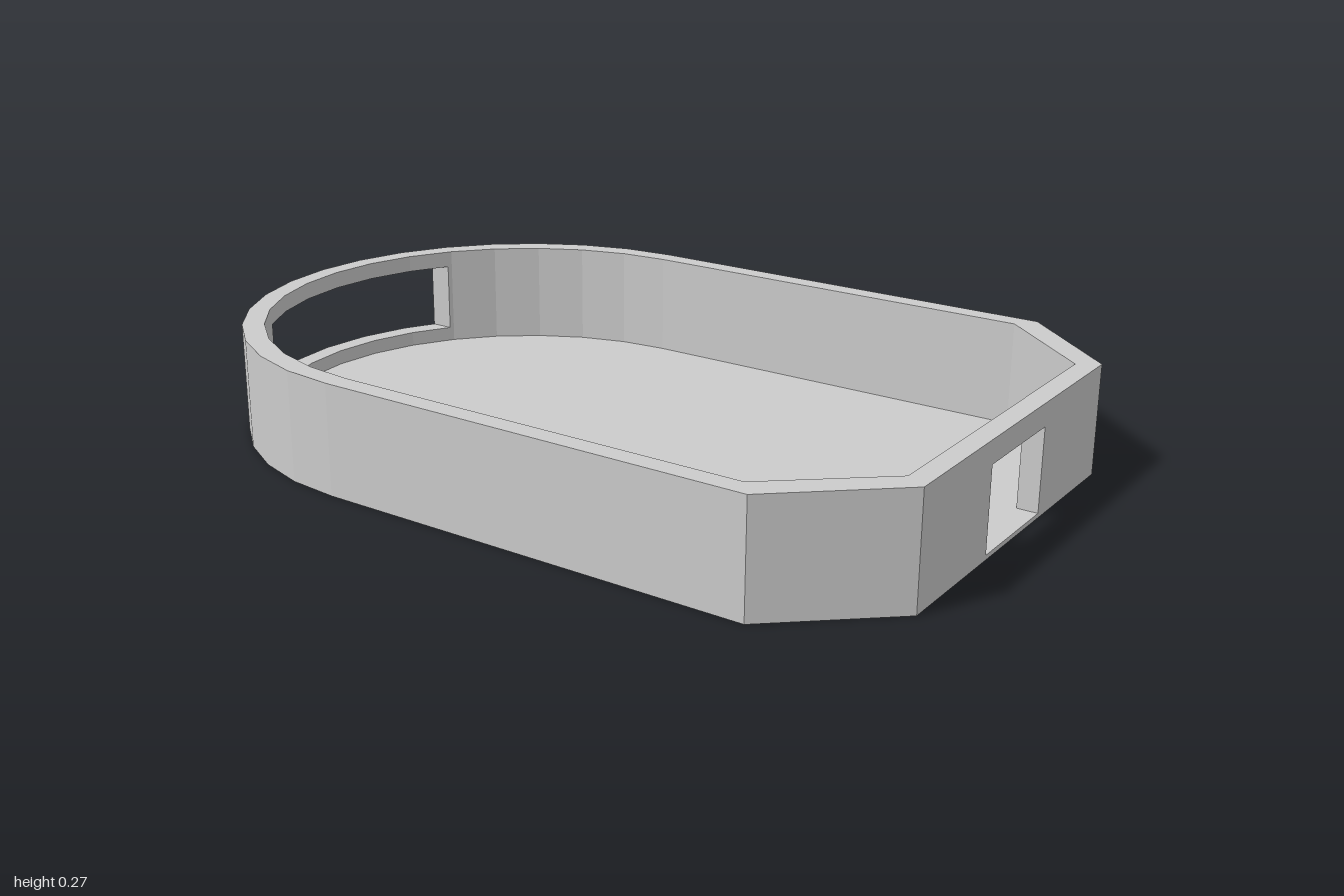
import * as THREE from 'three';

const HEIGHT = 0.267, FLOOR = 0.011, RADIUS = 0.667, ARC_Z = -0.333;
const FRONT_HOLE = [FLOOR, 0.211], BACK_HOLE = [0.048, 0.225];
const INSET_X = 0.925, INSET_Z = 0.95;

// Plan of the wall: paired outer and inner [x, z] points, counter-clockwise from above
function wallStations() {
  const pair = (x, z) => ({ o: [x, z], i: [x * INSET_X, z * INSET_Z] });
  const half = [
    { o: [0.133, 1], i: [0.133, 0.95] }, // front window edge
    pair(0.444, 1),
    pair(RADIUS, 0.75),
  ];
  for (let k = 0; k < 8; k++) {
    const a = (k * Math.PI) / 16;
    half.push(pair(RADIUS * Math.cos(a), ARC_Z - RADIUS * Math.sin(a)));
  }
  // straight cut of the rear window, between two arc points
  const cut = (p, q) => {
    const t = (0.333 - p[0]) / (q[0] - p[0]);
    return [0.333, p[1] + t * (q[1] - p[1])];
  };
  half.splice(9, 0, { o: cut(half[8].o, half[9].o), i: cut(half[8].i, half[9].i) });
  const flip = ([x, z]) => [-x, z];
  const mirrored = half.map((s) => ({ o: flip(s.o), i: flip(s.i) })).reverse();
  return [...half, pair(0, ARC_Z - RADIUS), ...mirrored];
}

function wallGeometry(stations) {
  const pos = [];
  const n = stations.length;
  const quad = (a, b, c, d) => pos.push(...a, ...b, ...c, ...a, ...c, ...d);
  const at = ([x, z], y) => [x, y, z];
  const upright = (p, q, y0, y1) => {
    if (y1 - y0 > 1e-6) quad(at(p, y0), at(q, y0), at(q, y1), at(p, y1));
  };
  const level = (p, q, y) => quad(at(p.o, y), at(q.o, y), at(q.i, y), at(p.i, y));
  const ceiling = (p, q, y) => quad(at(p.i, y), at(q.i, y), at(q.o, y), at(p.o, y));

  const backStart = 9, backEnd = n - 1 - 9;
  stations.forEach((p, k) => {
    const q = stations[(k + 1) % n];
    const isBack = k >= backStart && k < backEnd;
    const hole = k === n - 1 ? FRONT_HOLE : isBack ? BACK_HOLE : null;
    level(p, q, HEIGHT); // rim
    if (!hole) {
      upright(p.o, q.o, 0, HEIGHT);
      upright(q.i, p.i, FLOOR, HEIGHT);
      return;
    }
    // wall below and above the window, its sill and its head
    upright(p.o, q.o, 0, hole[0]);
    upright(p.o, q.o, hole[1], HEIGHT);
    upright(q.i, p.i, FLOOR, hole[0]);
    upright(q.i, p.i, hole[1], HEIGHT);
    level(p, q, hole[0]);
    ceiling(p, q, hole[1]);
  });

  // window jambs
  const jambs = (start, end, [y0, y1]) => {
    upright(stations[start].o, stations[start].i, y0, y1);
    upright(stations[end].i, stations[end].o, y0, y1);
  };
  jambs(n - 1, 0, FRONT_HOLE);
  jambs(backStart, backEnd, BACK_HOLE);

  const g = new THREE.BufferGeometry();
  g.setAttribute('position', new THREE.Float32BufferAttribute(pos, 3));
  g.computeVertexNormals();
  return g;
}

// Flat plate facing up (dir 1) or down (dir -1)
function plate(points, dir, y) {
  const shape = new THREE.Shape(points.map(([x, z]) => new THREE.Vector2(x, -dir * z)));
  return new THREE.ShapeGeometry(shape).rotateX((-dir * Math.PI) / 2).translate(0, y, 0);
}

export function createModel() {
  const group = new THREE.Group();
  group.name = 'tray';
  const material = new THREE.MeshStandardMaterial({ color: 0xcccccc, flatShading: true });
  const add = (name, geometry) => {
    const mesh = new THREE.Mesh(geometry, material);
    mesh.name = name;
    group.add(mesh);
  };
  const stations = wallStations();
  add('wall', wallGeometry(stations));
  add('floor', plate(stations.map((s) => s.i), 1, FLOOR));
  add('underside', plate(stations.map((s) => s.o), -1, 0));
  return group;
}
